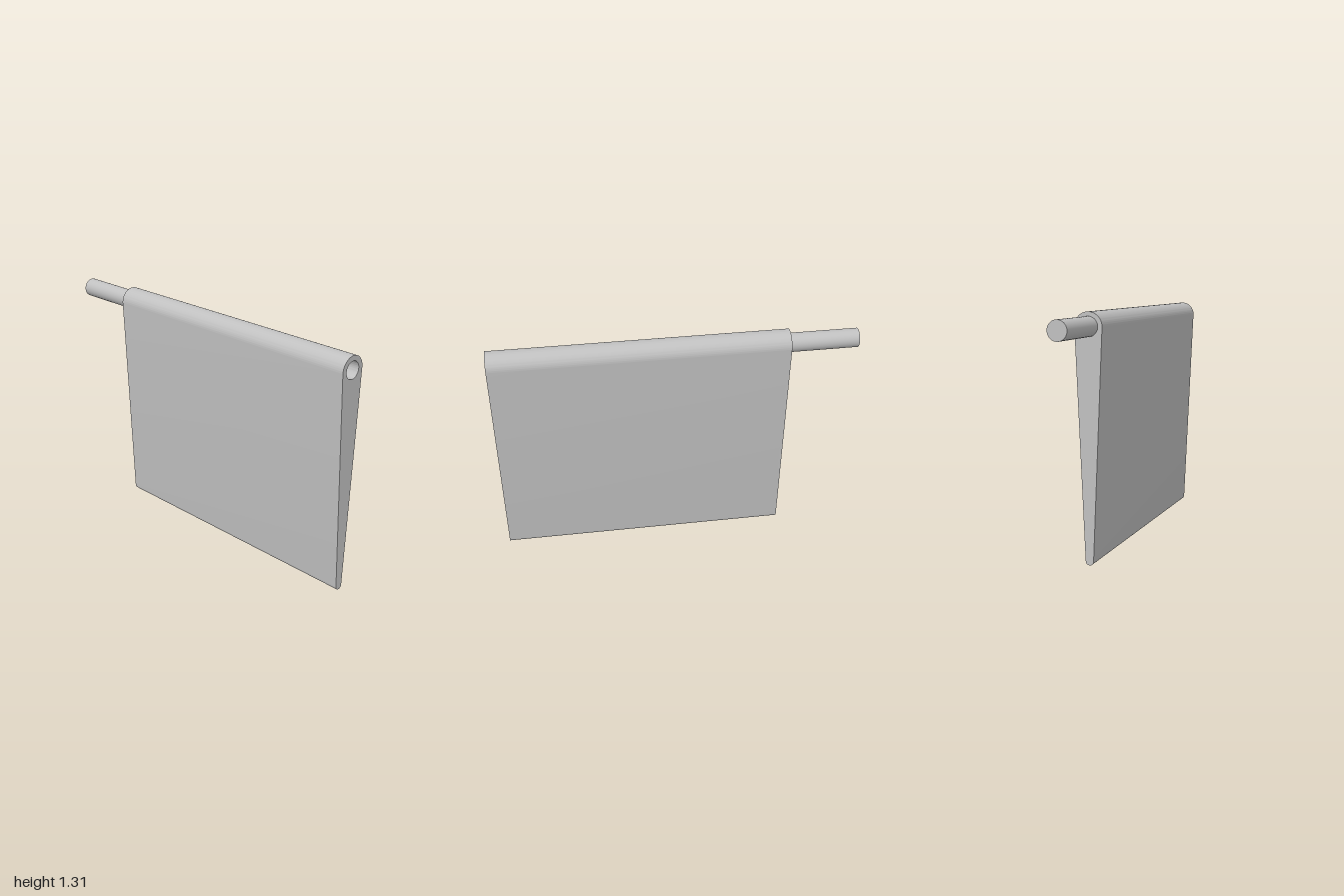
import * as THREE from 'three';
import { toCreasedNormals } from 'three/addons/utils/BufferGeometryUtils.js';

const TOP_R = 0.075, TOP_Y = 1.239;   // rounded barrel along the top
const TIP_R = 0.022;                  // rounded lower edge
const PIN_R = 0.052, BORE_R = 0.047;
const FRONT = 1, SEAM = -0.605, BACK = -0.62, PIN_END = -1;

// Teardrop section: two arcs joined by their tangent lines
function section(bored) {
  const tilt = Math.asin((TOP_R - TIP_R) / (TOP_Y - TIP_R));
  const shape = new THREE.Shape();
  shape.absarc(0, TOP_Y, TOP_R, -tilt, Math.PI + tilt, false);
  shape.absarc(0, TIP_R, TIP_R, Math.PI + tilt, Math.PI * 2 - tilt, false);
  shape.closePath();
  if (bored) {
    const hole = new THREE.Path();
    hole.absarc(0, TOP_Y, BORE_R, 0, Math.PI * 2, true);
    shape.holes.push(hole);
  }
  return shape;
}

function extrude(name, shape, z0, z1, material) {
  const geometry = new THREE.ExtrudeGeometry(shape, {
    depth: z1 - z0, bevelEnabled: false, curveSegments: 48,
  });
  geometry.translate(0, 0, z0);
  const mesh = new THREE.Mesh(toCreasedNormals(geometry, Math.PI / 6), material);
  mesh.name = name;
  return mesh;
}

export function createModel() {
  const group = new THREE.Group();
  group.name = 'taperedFlap';
  const grey = new THREE.MeshStandardMaterial({ color: 0xc0c0c0 });
  grey.name = 'plain grey';

  // Tapered panel with a bore open at the front, closed by a thin end wall
  group.add(extrude('panel', section(true), SEAM, FRONT, grey));
  group.add(extrude('endWall', section(false), BACK, SEAM, grey));

  // Pivot pin standing out of the back
  const length = BACK - PIN_END;
  const pin = new THREE.Mesh(new THREE.CylinderGeometry(PIN_R, PIN_R, length, 48), grey);
  pin.name = 'pivotPin';
  pin.rotation.x = Math.PI / 2;
  pin.position.set(0, TOP_Y, (BACK + PIN_END) / 2);
  group.add(pin);

  return group;
}
